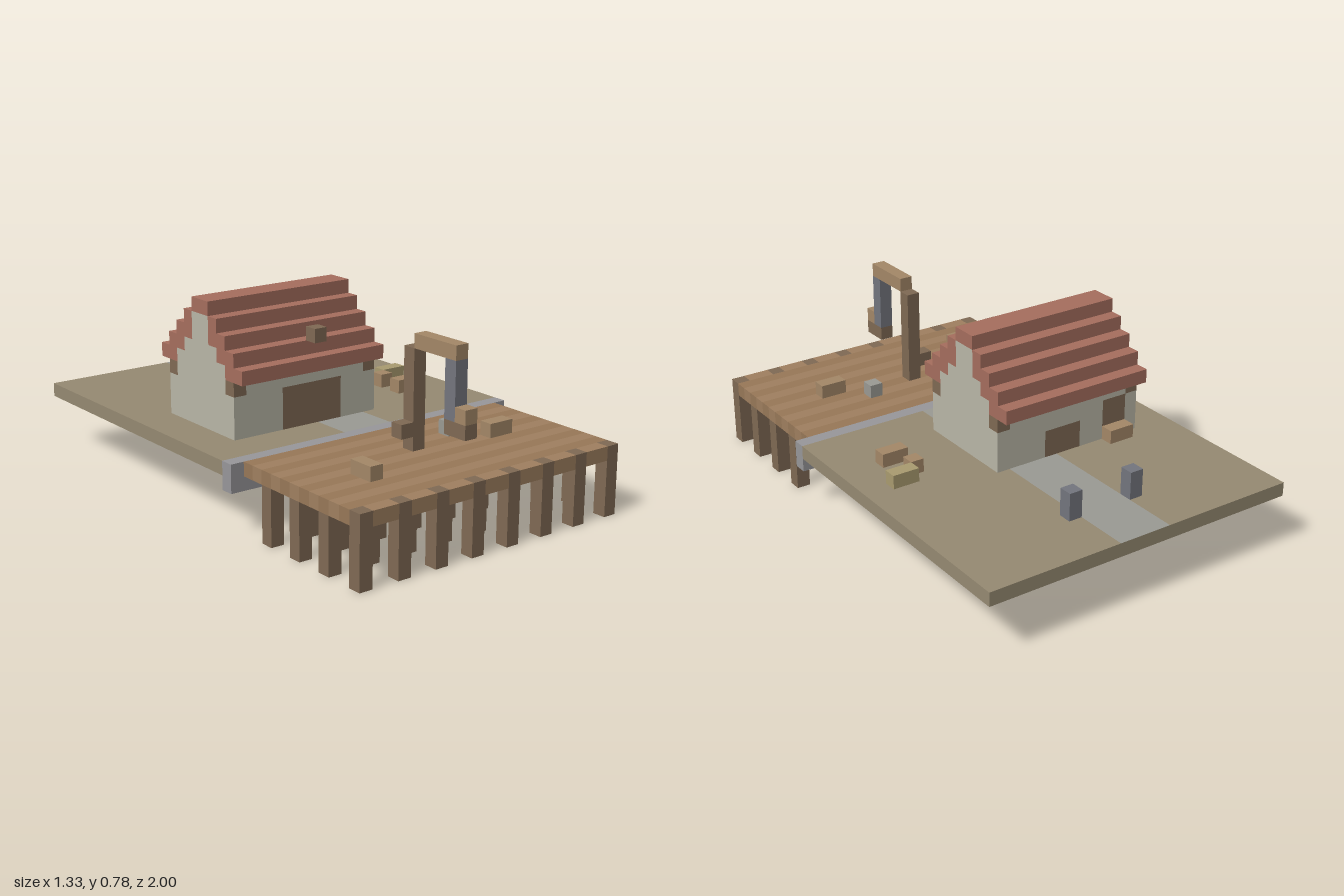
import * as THREE from 'three';

const U = 1 / 18; // one block
const COLORS = {
  grass: 0x968a72, path: 0x9b9a94, stone: 0x98979a, plankA: 0xa08060, plankB: 0x987858,
  wood: 0x806a54, crate: 0xa48868, wall: 0xbab7a8, roof: 0xa66e5e, steel: 0x74767e, straw: 0xaa9c70,
};
const materials = {};
for (const key in COLORS) {
  materials[key] = new THREE.MeshStandardMaterial({ color: COLORS[key], flatShading: true, side: THREE.DoubleSide });
}
const FACES = ['right', 'left', 'top', 'bottom', 'front', 'back'];

// Block from ranges [x0, x1], [y0, y1], [z0, z1] in block units; blocks are open underneath
function block(parent, name, color, x, y, z, open = []) {
  const geo = new THREE.BoxGeometry((x[1] - x[0]) * U, (y[1] - y[0]) * U, (z[1] - z[0]) * U);
  const all = Array.from(geo.index.array);
  const skipped = ['bottom', ...open];
  geo.setIndex(FACES.flatMap((f, i) => (skipped.includes(f) ? [] : all.slice(i * 6, i * 6 + 6))));
  geo.clearGroups();
  const mesh = new THREE.Mesh(geo, materials[color]);
  mesh.name = name;
  mesh.position.set((x[0] + x[1]) / 2 * U, (y[0] + y[1]) / 2 * U, (z[0] + z[1]) / 2 * U);
  parent.add(mesh);
  return mesh;
}

function section(parent, name) {
  const g = new THREE.Group();
  g.name = name;
  parent.add(g);
  return g;
}

function addGround(root) {
  const g = section(root, 'ground');
  block(g, 'groundEdge', 'grass', [-12, 12], [4, 5], [-18, 5], ['top', 'front']);
  // Flat tiles [x0, x1, z0, z1], leaving the strip under the house walls open
  const tile = (name, color, [x0, x1, z0, z1]) =>
    block(g, name, color, [x0, x1], [4, 5], [z0, z1], ['left', 'right', 'front', 'back']);
  const grass = [
    [-12, -2, -18, -6], [2, 12, -18, -6], [-12, -9, -6, 2],
    [3, 12, -6, 2], [-12, -2, 2, 5], [2, 12, 2, 5],
  ];
  grass.forEach((r) => tile('grass', 'grass', r));
  [[-2, 2, -18, -6], [-2, 2, 2, 5]].forEach((r) => tile('path', 'path', r));
  tile('houseFloor', 'path', [-8, 2, -5, 1]);
  block(g, 'quayWall', 'stone', [-12, 12], [3, 5], [5, 6]);
}

function addPier(root) {
  const g = section(root, 'pier');
  for (let z = 6; z < 17; z++) {
    block(g, 'plank', z % 2 ? 'plankA' : 'plankB', [-11, 11], [4, 5], [z, z + 1], ['front', 'back']);
  }
  for (let x = -11; x <= 10; x += 3) {
    // Front piles reach the deck surface, with edge boards between them
    block(g, 'pile', 'wood', [x, x + 1], [0, 5], [17, 18]);
    if (x < 10) block(g, 'edgeBoard', 'plankA', [x + 1, x + 3], [4, 5], [17, 18], ['left', 'right', 'back']);
    for (const z of [8, 11, 14]) block(g, 'pile', 'wood', [x, x + 1], [0, 4], [z, z + 1], ['top']);
  }
}

function addHouse(root) {
  const g = section(root, 'house');
  // Long wall as a row of panels: [x0, x1, top, color]
  const longWall = (z, panels) => {
    for (const [x0, x1, top, color] of panels) {
      const name = color === 'wood' ? 'door' : 'wall';
      block(g, name, color, [x0, x1], [5, top], z, ['left', 'right']);
      if (top < 8) block(g, 'wall', 'wall', [x0, x1], [top, 8], z, ['left', 'right']);
    }
    block(g, 'wallTop', 'wall', [-8, 2], [8, 9], z);
    for (const x of [-9, 2]) block(g, 'cornerBeam', 'wood', [x, x + 1], [8, 9], z);
  };
  longWall([1, 2], [[-9, -5, 8, 'wall'], [-5, 0, 8, 'wood'], [0, 3, 8, 'wall']]);
  longWall([-6, -5], [
    [-9, -8, 8, 'wall'], [-8, -6, 8, 'wood'], [-6, -4, 8, 'wall'], [-4, -1, 7, 'wood'], [-1, 3, 8, 'wall'],
  ]);
  // End walls, closing the long walls at the corners
  for (const x of [-9, 2]) {
    block(g, 'endWall', 'wall', [x, x + 1], [5, 9], [-5, 1], ['front', 'back']);
    for (const z of [-6, 1]) {
      block(g, 'endWall', 'wall', [x, x + 1], [5, 8], [z, z + 1], ['front', 'back']);
    }
  }
  // Stepped roof around the ridge line z = -2, with gables filling its ends
  const ridge = -2;
  for (let y = 9; y < 13; y++) {
    const outer = 14 - y;
    const inner = Math.max(1, outer - 2);
    block(g, 'roofStep', 'roof', [-9, 3], [y, y + 1], [ridge + inner, ridge + outer]);
    block(g, 'roofStep', 'roof', [-9, 3], [y, y + 1], [ridge - outer, ridge - inner]);
    for (const x of [-9, 2]) {
      block(g, 'gable', 'wall', [x, x + 1], [y, y + 1], [ridge - inner, ridge + inner], ['front', 'back']);
    }
  }
  block(g, 'roofRidge', 'roof', [-9, 3], [13, 14], [ridge - 1, ridge + 1]);
  block(g, 'roofBlock', 'wood', [-3, -2], [11, 12], [2, 3]);
}

function addCrane(root) {
  const g = section(root, 'crane');
  const x = [-1, 0];
  block(g, 'cranePost', 'wood', x, [5, 12], [10, 11]);
  block(g, 'craneHandle', 'wood', [-2, -1], [6, 7], [10, 11]);
  block(g, 'craneBeam', 'crate', x, [12, 13], [10.98, 15]);
  block(g, 'craneRope', 'steel', x, [8, 12], [14, 15]);
  block(g, 'craneLoad', 'wood', x, [7, 8], [14, 16]);
  block(g, 'craneLoadTop', 'crate', x, [8, 9], [15, 16]);
}

function addCargo(root) {
  const g = section(root, 'cargo');
  const y = [5, 6];
  block(g, 'deckCrate', 'crate', [-7, -6], y, [12, 14]);
  block(g, 'deckCrate', 'crate', [5, 7], y, [11, 12]);
  block(g, 'stoneBlock', 'path', [3, 4], y, [9, 10]);
  block(g, 'yardCrate', 'crate', [7, 9], y, [-1, 0]);
  block(g, 'yardCrate', 'crate', [7, 8], y, [-3, -2]);
  block(g, 'strawBale', 'straw', [8, 10], y, [-4, -3]);
  block(g, 'backStep', 'crate', [-8, -6], y, [-7, -6]);
  for (const x of [-3, 2]) block(g, 'bollard', 'steel', [x, x + 1], [5, 7], [-14, -13]);
}

export function createModel() {
  const root = new THREE.Group();
  root.name = 'harbourHouse';
  addGround(root);
  addPier(root);
  addHouse(root);
  addCrane(root);
  addCargo(root);
  return root;
}
